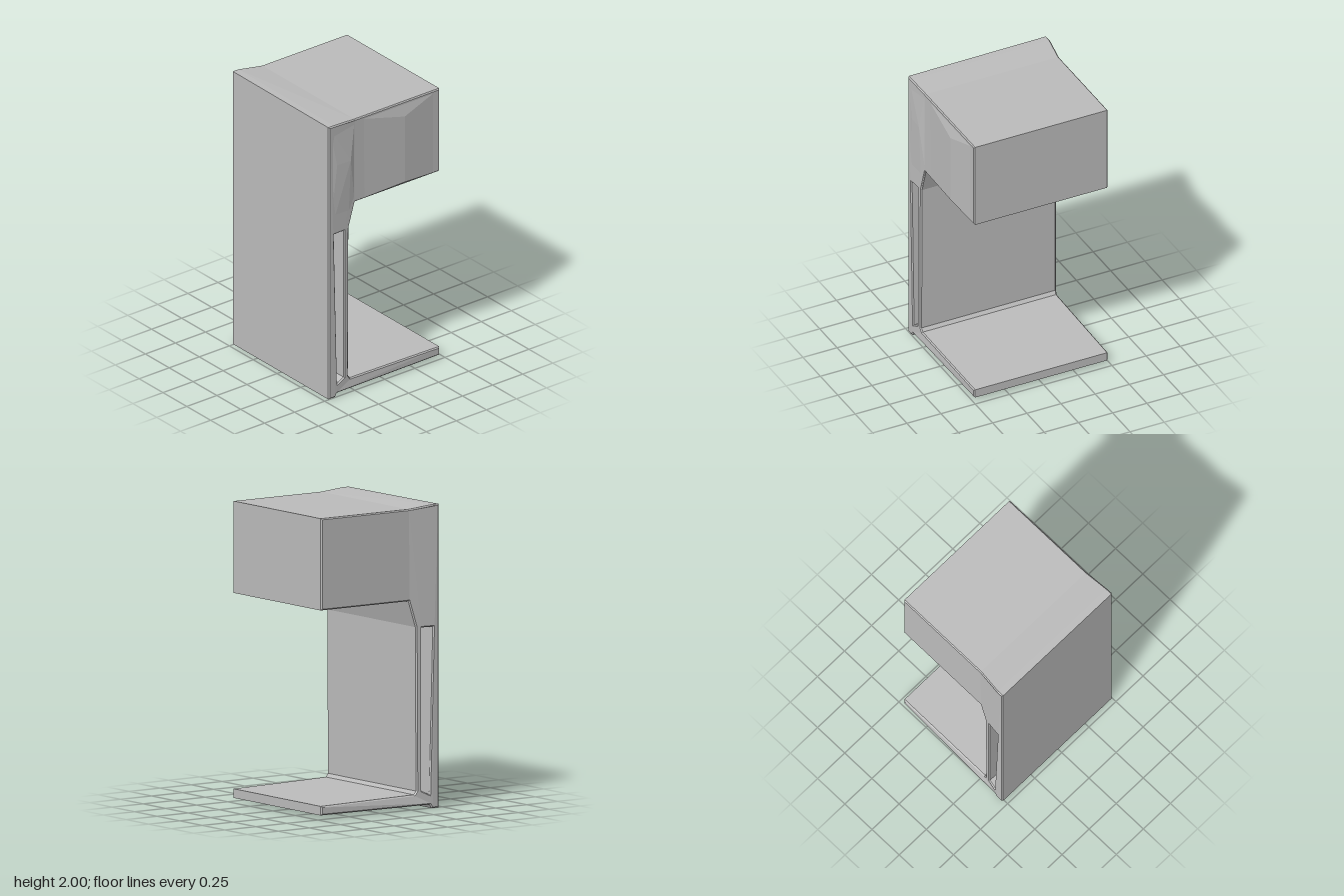
import * as THREE from 'three';
import { ConvexGeometry } from 'three/addons/geometries/ConvexGeometry.js';

const grey = new THREE.MeshStandardMaterial({ color: 0xbcbcbc });
grey.name = 'grey';

// Side profile points are [z, y]; the shape's own x axis is -z
const toShapePoints = (list) => list.map(([z, y]) => new THREE.Vector2(-z, y));

// Front panel, tray, back wall and head as one profile swept across x
function bodyGeometry() {
  const shape = new THREE.Shape(toShapePoints([
    [0.465, 0], [0.41, 0], [0.395, 0.025], [-0.465, 0.025], [-0.465, 0.085],
    [0.28, 0.097], [0.297, 0.12], [0.292, 1.2], [0.24, 1.375], [-0.465, 1.375],
    [-0.465, 1.98], [0.24, 1.98], [0.42, 2], [0.465, 2],
  ]));
  // Slot that runs right through between the front panel and the back wall
  shape.holes.push(new THREE.Path(toShapePoints([
    [0.42, 1.195], [0.335, 1.195], [0.335, 0.12], [0.393, 0.09],
  ])));

  const bevel = 0.008;
  let geometry = new THREE.ExtrudeGeometry(shape, {
    depth: 0.98 - 2 * bevel, bevelEnabled: true, bevelSegments: 1,
    bevelSize: bevel, bevelOffset: -bevel, bevelThickness: bevel,
  });
  geometry.translate(0, 0, bevel - 0.49).rotateY(Math.PI / 2);
  if (geometry.index) geometry = geometry.toNonIndexed();

  // Flare the sides towards the front panel, and tilt its top edge slightly
  const p = geometry.attributes.position;
  for (let i = 0; i < p.count; i++) {
    const x = p.getX(i), y = p.getY(i), z = p.getZ(i);
    const flare = THREE.MathUtils.clamp((z - 0.24) / 0.17, 0, 1);
    p.setX(i, x * (1 + flare * (x < 0 ? 0.051 : 0.022)));
    if (z > 0.4 && y > 1.9 && x > 0) p.setY(i, y - 0.007);
  }
  geometry.computeVertexNormals();
  return geometry;
}

// Shallow faceted swelling, from [x, y, z] corners
const swelling = (corners) => new ConvexGeometry(corners.map((c) => new THREE.Vector3(...c)));

export function createModel() {
  const model = new THREE.Group();
  const add = (name, geometry) => {
    const mesh = new THREE.Mesh(geometry, grey);
    mesh.name = name;
    model.add(mesh);
  };

  add('body', bodyGeometry());

  // Bowed left side of the head
  add('headSideBulge', swelling([
    [0.486, 1.377, -0.462], [0.486, 1.978, -0.462],
    [0.486, 1.377, 0.24], [0.486, 1.978, 0.24],
    [0.508, 1.4, -0.16], [0.508, 1.88, -0.16],
  ]));

  // Faceted left side of the neck between head and front panel
  add('neckSideBulge', swelling([
    [0.488, 1.38, 0.242], [0.488, 1.975, 0.242], [0.496, 1.98, 0.455],
    [0.496, 1.2, 0.455], [0.488, 1.2, 0.295],
    [0.509, 1.7, 0.29], [0.505, 1.7, 0.4],
  ]));

  return model;
}
